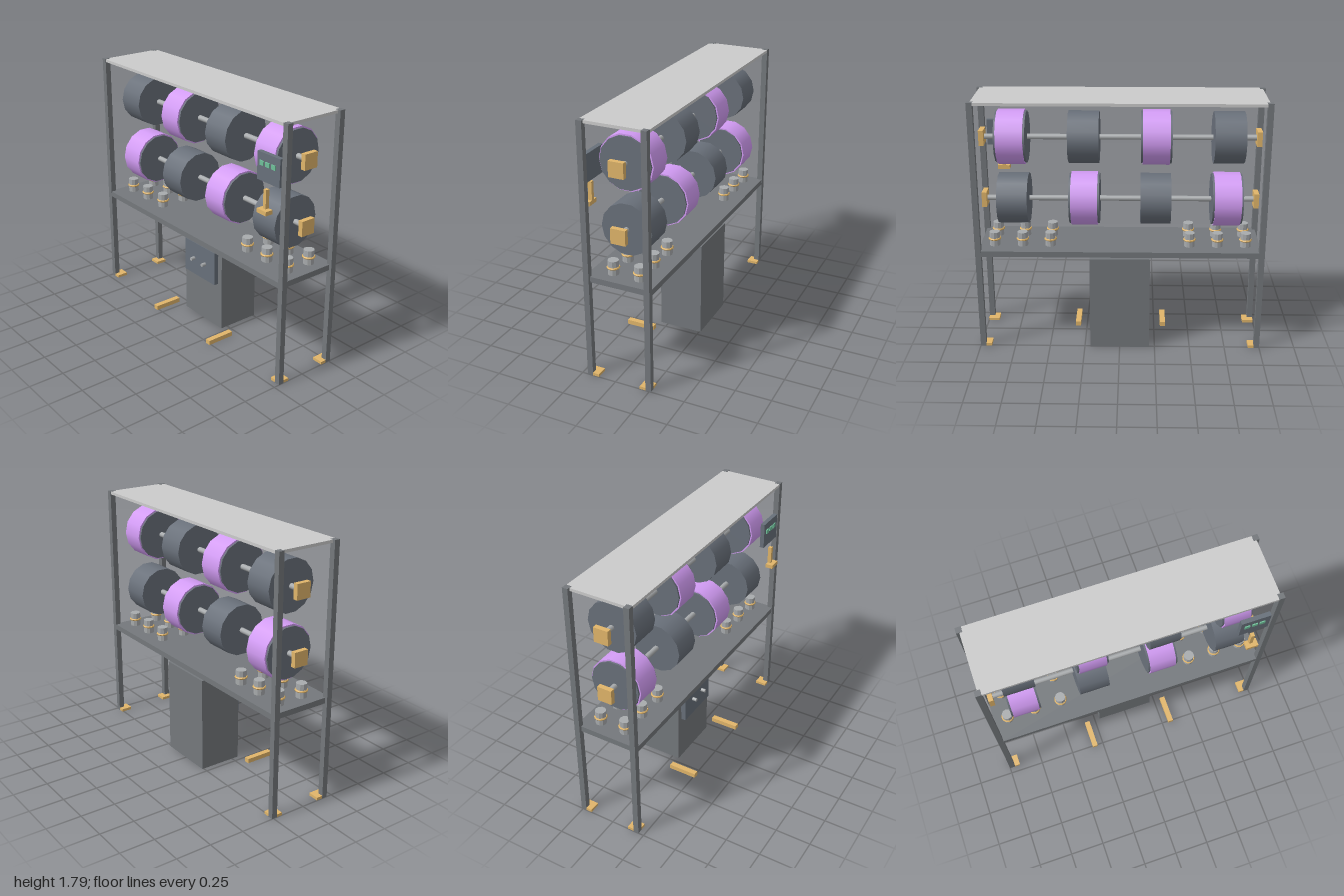
import * as THREE from 'three';

const mat = (color) => new THREE.MeshStandardMaterial({ color });
const flat = (color) => {
  const m = mat(color);
  m.flatShading = true;
  return m;
};

export function createModel() {
  const root = new THREE.Group();
  const frame = mat(0x74787c), drumGrey = mat(0x69707a), purple = mat(0xd39cf5);
  const brass = mat(0xe0b56a), green = mat(0x70c09a), steel = mat(0xa8abad);
  const panelGrey = mat(0x68707a), roofGrey = mat(0xcccccc);
  const steelFlat = flat(0xa8abad), brassFlat = flat(0xe0b56a);

  function add(name, geometry, material, x = 0, y = 0, z = 0, parent = root) {
    const mesh = new THREE.Mesh(geometry, material);
    mesh.name = name;
    mesh.position.set(x, y, z);
    parent.add(mesh);
    return mesh;
  }
  // Box given by its extents along each axis
  const box = (name, material, [x0, x1], [y0, y1], [z0, z1]) =>
    add(name, new THREE.BoxGeometry(x1 - x0, y1 - y0, z1 - z0), material,
      (x0 + x1) / 2, (y0 + y1) / 2, (z0 + z1) / 2);
  // Cylinder lying along x
  const rod = (radius, length, sides) =>
    new THREE.CylinderGeometry(radius, radius, length, sides).rotateZ(Math.PI / 2);

  // Posts and foot plates
  for (const s of [-1, 1]) {
    const span = (a, b) => (s > 0 ? [a, b] : [-b, -a]);
    box('frontPost', frame, span(0.96, 1), [0, 1.792], [0.17, 0.21]);
    box('backPost', frame, span(0.96, 1), [0, 1.792], [-0.262, -0.222]);
    box('frontFoot', brass, span(0.92, 0.999), [0, 0.02], [0.125, 0.209]);
    box('backFoot', brass, span(0.92, 0.999), [0, 0.02], [-0.261, -0.18]);
    box('floorSkid', brass, span(0.296, 0.335), [0, 0.033], [0.055, 0.263]);
  }

  // Roof and shelf
  box('roof', roofGrey, [-0.98, 0.98], [1.77, 1.79], [-0.26, 0.208]);
  box('shelf', frame, [-0.98, 0.98], [0.7, 0.74], [-0.26, 0.208]);

  // Two shafts, each with four drums; every second drum wears a purple sleeve
  const axisZ = -0.03;
  [1.5, 1.055].forEach((y, row) => {
    const shaft = new THREE.Group();
    shaft.name = row ? 'lowerShaft' : 'upperShaft';
    shaft.position.set(0, y, axisZ);
    root.add(shaft);
    add('axle', rod(0.019, 1.88, 10), steel, 0, 0, 0, shaft);
    for (const s of [-1, 1]) {
      add('bearing', new THREE.BoxGeometry(0.034, 0.105, 0.105), brass, s * 0.946, 0, 0, shaft);
    }
    for (let i = 0; i < 4; i++) {
      const x = -0.74 + i * 0.4933;
      add('drum', rod(0.179, 0.21, 14), drumGrey, x, 0, 0, shaft);
      if ((i + row) % 2) add('sleeve', rod(0.189, 0.184, 14), purple, x, 0, 0, shaft);
    }
  });

  // Canisters with clamp rings, three pairs at each end of the shelf
  const canister = new THREE.CylinderGeometry(0.037, 0.037, 0.102, 10);
  const ring = new THREE.TorusGeometry(0.037, 0.008, 6, 12).rotateX(Math.PI / 2);
  for (const s of [-1, 1]) {
    for (const x of [0.486, 0.681, 0.877]) {
      for (const z of [0.056, -0.134]) {
        add('canister', canister, steelFlat, s * x, 0.789, z);
        add('clampRing', ring, brassFlat, s * x, 0.79, z);
      }
    }
  }

  // Cabinet with door box, knobs and indicator strip
  box('cabinet', frame, [-0.21, 0.21], [0, 0.687], [-0.26, 0.053]);
  box('cabinetPanel', panelGrey, [-0.17, 0.17], [0.35, 0.602], [0.05, 0.088]);
  box('indicatorStrip', green, [-0.053, 0.05], [0.64, 0.656], [0.05, 0.065]);
  const knob = new THREE.CylinderGeometry(0.013, 0.013, 0.034, 10).rotateX(Math.PI / 2);
  for (const x of [-0.063, 0.063]) add('knob', knob, steel, x, 0.477, 0.103);

  // Control box with three buttons
  box('controlBox', panelGrey, [0.74, 0.945], [1.375, 1.56], [0.18, 0.211]);
  for (const x of [0.785, 0.838, 0.89]) {
    box('button', green, [x - 0.018, x + 0.018], [1.478, 1.508], [0.208, 0.219]);
  }

  // Lever below the control box
  box('leverStem', brass, [0.828, 0.853], [1.187, 1.34], [0.208, 0.235]);
  box('leverFoot', brass, [0.8, 0.886], [1.185, 1.213], [0.208, 0.263]);

  return root;
}
